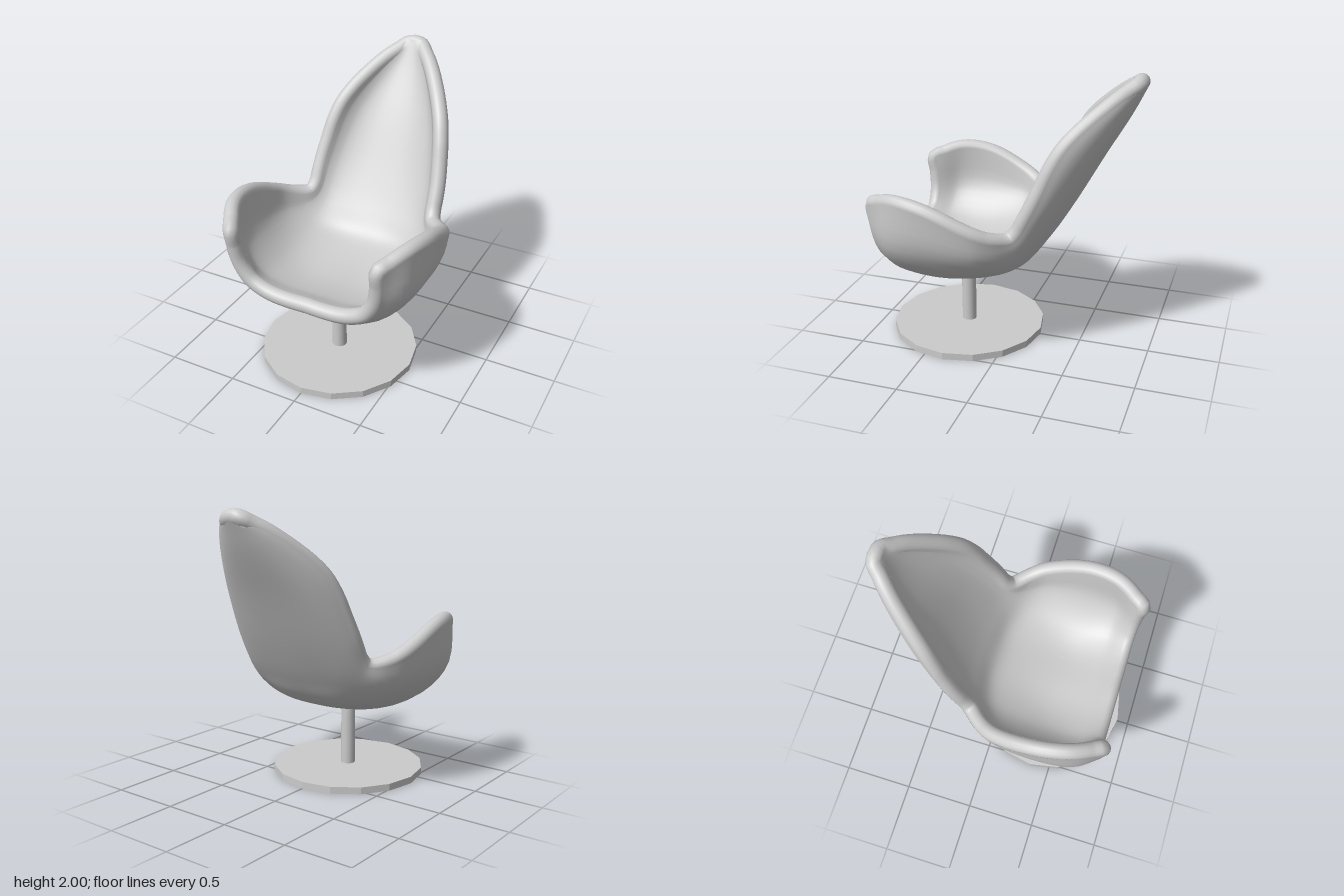
import * as THREE from 'three';

const R = 0.055; // half thickness of the padded shell
const NU = 32, NV = 54;

// Half cross-sections from centre line to rim, ordered front lip -> top of back
const sections = [
  [[0, .66, .79], [.25, .665, .79], [.42, .73, .79], [.51, .88, .80], [.535, 1.11, .825]],
  [[0, .60, .65], [.27, .61, .65], [.46, .68, .66], [.61, .87, .66], [.64, 1.175, .63]],
  [[0, .565, .38], [.27, .575, .38], [.47, .66, .39], [.64, .87, .39], [.68, 1.15, .40]],
  [[0, .605, .08], [.25, .62, .09], [.45, .69, .10], [.605, .85, .10], [.645, 1.02, .10]],
  [[0, .68, -.10], [.23, .69, -.09], [.42, .74, -.05], [.54, .85, -.03], [.58, .965, -.02]],
  [[0, .84, -.23], [.22, .84, -.21], [.38, .865, -.18], [.46, .91, -.15], [.485, .955, -.13]],
  [[0, 1.08, -.38], [.20, 1.09, -.37], [.36, 1.11, -.33], [.43, 1.14, -.29], [.46, 1.18, -.26]],
  [[0, 1.46, -.59], [.16, 1.47, -.58], [.29, 1.49, -.54], [.355, 1.53, -.49], [.385, 1.56, -.44]],
  [[0, 1.76, -.76], [.08, 1.765, -.755], [.14, 1.78, -.74], [.18, 1.805, -.72], [.195, 1.825, -.70]],
  [[0, 1.945, -.85], [.015, 1.943, -.849], [.03, 1.94, -.847], [.042, 1.937, -.845], [.055, 1.933, -.842]],
];

// Mid-surface of the shell as a grid of points: grid[v][u]
function shellGrid() {
  const rows = sections.map((s) => {
    const half = s.map((p) => new THREE.Vector3(...p));
    const mirror = half.slice(1).reverse().map((p) => new THREE.Vector3(-p.x, p.y, p.z));
    return new THREE.CatmullRomCurve3([...mirror, ...half]).getPoints(NU);
  });
  const columns = [];
  for (let u = 0; u <= NU; u++) {
    columns.push(new THREE.CatmullRomCurve3(rows.map((r) => r[u])).getPoints(NV));
  }
  return Array.from({ length: NV + 1 }, (_, v) => columns.map((c) => c[v]));
}

// Skin lying at a distance to one side of the mid-surface
function skin(grid, offset) {
  const pos = [], index = [];
  const du = new THREE.Vector3(), dv = new THREE.Vector3();
  for (let v = 0; v <= NV; v++) {
    for (let u = 0; u <= NU; u++) {
      du.subVectors(grid[v][Math.min(u + 1, NU)], grid[v][Math.max(u - 1, 0)]);
      dv.subVectors(grid[Math.min(v + 1, NV)][u], grid[Math.max(v - 1, 0)][u]);
      const n = du.cross(dv).normalize();
      const p = grid[v][u].clone().addScaledVector(n, offset);
      pos.push(p.x, p.y, p.z);
      if (u < NU && v < NV) {
        const a = v * (NU + 1) + u, b = a + 1, c = a + NU + 1, d = c + 1;
        if (offset > 0) index.push(a, b, c, b, d, c);
        else index.push(a, c, b, b, c, d);
      }
    }
  }
  const g = new THREE.BufferGeometry();
  g.setAttribute('position', new THREE.Float32BufferAttribute(pos, 3));
  g.setIndex(index);
  g.computeVertexNormals();
  return g;
}

export function createModel() {
  const model = new THREE.Group();
  model.name = 'swivelChair';
  const smooth = new THREE.MeshStandardMaterial({ color: 0xcccccc, side: THREE.DoubleSide });
  const flat = new THREE.MeshStandardMaterial({ color: 0xcccccc, flatShading: true });
  const add = (name, geometry, material, parent = model) => {
    const mesh = new THREE.Mesh(geometry, material);
    mesh.name = name;
    parent.add(mesh);
    return mesh;
  };

  // Shell: inner and outer skin closed by a rounded rim
  const shell = new THREE.Group();
  shell.name = 'seatShell';
  model.add(shell);
  const grid = shellGrid();
  add('innerSkin', skin(grid, R), smooth, shell);
  add('outerSkin', skin(grid, -R), smooth, shell);

  // Rim path: front lip, left side up, across the top, right side down
  const path = [];
  for (let u = 0; u < NU; u += 2) path.push(grid[0][u]);
  for (let v = 0; v < NV; v += 2) path.push(grid[v][NU]);
  path.push(grid[NV][NU], grid[NV][NU / 2]);
  for (let v = NV; v > 0; v -= 2) path.push(grid[v][0]);
  const rim = new THREE.CatmullRomCurve3(path, true);
  add('rim', new THREE.TubeGeometry(rim, 220, R, 14, true), smooth, shell);

  // Pedestal
  const column = add('column', new THREE.CylinderGeometry(.052, .052, .5, 20), smooth);
  column.position.set(0, .3, .355);
  const base = add('baseDisc', new THREE.CylinderGeometry(.557, .557, .05, 16), flat);
  base.position.set(0, .025, .355);
  return model;
}
